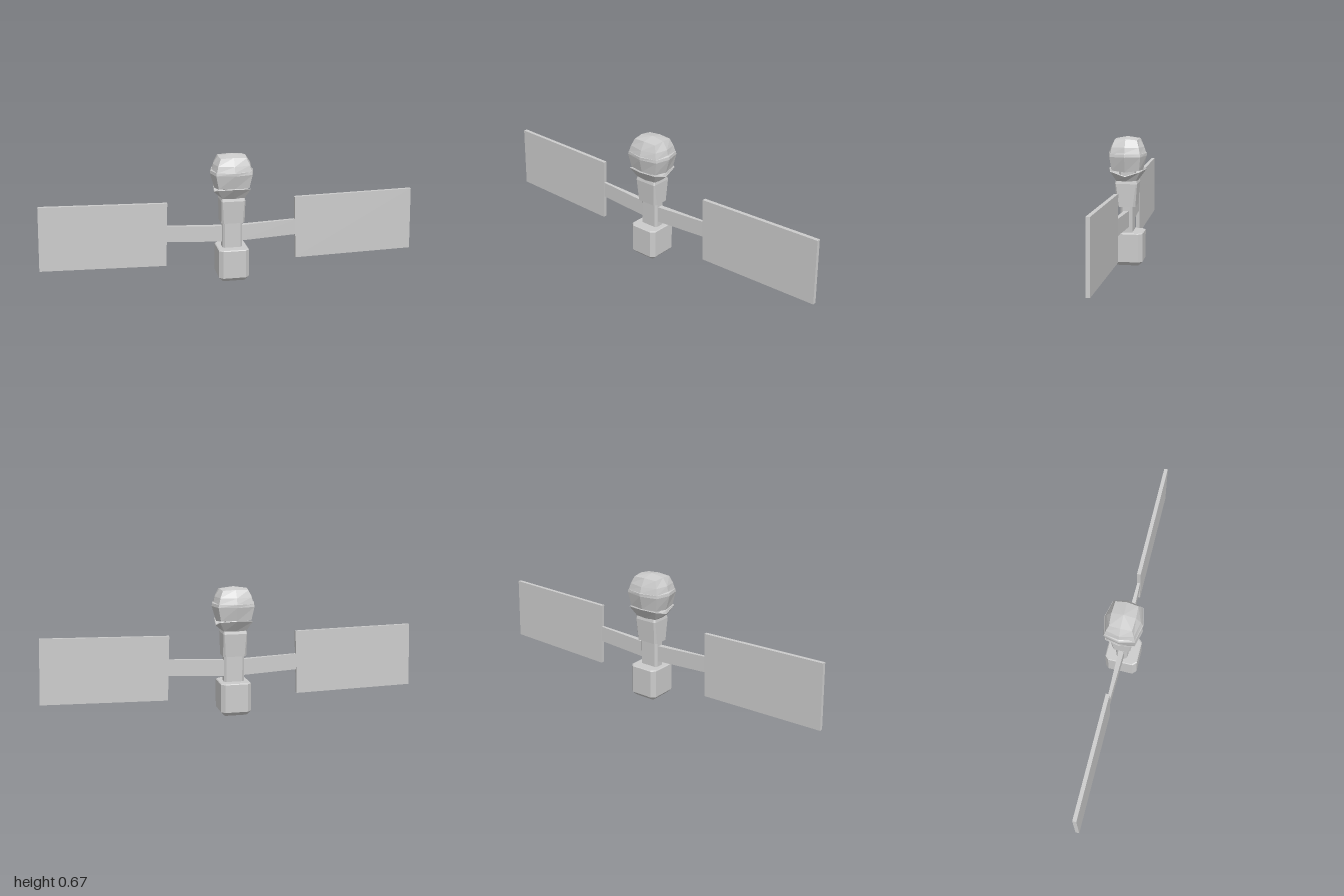
import * as THREE from 'three';

const material = new THREE.MeshStandardMaterial({ color: 0xcccccc, flatShading: true, side: THREE.DoubleSide });

function mesh(name, geometry) {
  const m = new THREE.Mesh(geometry, material);
  m.name = name;
  return m;
}

// Rectangle with chamfered corners at height y
function chamferRing(y, x, z, c) {
  return [[c - x, z], [x - c, z], [x, z - c], [x, c - z], [x - c, -z], [c - x, -z], [-x, c - z], [-x, z - c]]
    .map(([px, pz]) => [px, y, pz]);
}

// Four corners [x, y, z] with bulging side [x, y] and front/back [y, z] midpoints
function bulgeRing([cx, cy, cz], [sx, sy], [fy, fz]) {
  return [[0, fy, fz], [cx, cy, cz], [sx, sy, 0], [cx, cy, -cz],
    [0, fy, -fz], [-cx, cy, -cz], [-sx, sy, 0], [-cx, cy, cz]];
}

// Skin stacked rings, closing both ends to a centre point
function loft(rings, bottomY, topY) {
  const n = rings[0].length, last = (rings.length - 1) * n;
  const points = [...rings.flat(), [0, bottomY, 0], [0, topY, 0]];
  const bottom = points.length - 2, top = points.length - 1;
  const index = [];
  for (let i = 0; i < n; i++) {
    const j = (i + 1) % n;
    for (let r = 0; r < last; r += n) {
      index.push(r + i, r + j, r + n + j, r + i, r + n + j, r + n + i);
    }
    index.push(bottom, j, i, top, last + i, last + j);
  }
  const g = new THREE.BufferGeometry();
  g.setAttribute('position', new THREE.Float32BufferAttribute(points.flat(), 3));
  g.setIndex(index);
  const flat = g.toNonIndexed();
  flat.computeVertexNormals();
  return flat;
}

// Tapered boom rising slightly away from the mast
function boomGeometry(side) {
  const g = new THREE.BoxGeometry(0.33, 1, 1);
  g.translate(side * 0.195, 0, 0);
  const p = g.attributes.position;
  for (let i = 0; i < p.count; i++) {
    const outer = Math.abs(p.getX(i)) > 0.2;
    p.setY(i, (outer ? 0.26 : 0.244) + p.getY(i) * 0.085);
    p.setZ(i, p.getZ(i) * (outer ? 0.014 : 0.03));
  }
  g.computeVertexNormals();
  return g;
}

// Slightly tilted flat panel
function panelGeometry(side) {
  const corners = [[0.35, 0.086], [1, 0.1], [0.988, 0.438], [0.338, 0.425]];
  const shape = new THREE.Shape(corners.map(([x, y]) => new THREE.Vector2(side * x, y)));
  const g = new THREE.ExtrudeGeometry(shape, { depth: 0.02, bevelEnabled: false });
  g.translate(0, 0, -0.01);
  return g;
}

export function createModel() {
  const group = new THREE.Group();
  group.name = 'satellite';

  // Body column
  group.add(mesh('baseModule', loft([
    chamferRing(0, 0.06, 0.067, 0.006),
    chamferRing(0.021, 0.08, 0.0875, 0.02),
    chamferRing(0.169, 0.08, 0.0875, 0.02),
    chamferRing(0.173, 0.076, 0.083, 0.02),
  ], 0, 0.173)));
  group.add(mesh('mast', loft([
    chamferRing(0.165, 0.053, 0.031, 0.011),
    chamferRing(0.32, 0.053, 0.031, 0.011),
  ], 0.165, 0.32)));
  group.add(mesh('collar', loft([
    chamferRing(0.31, 0.062, 0.048, 0.012),
    chamferRing(0.43, 0.063, 0.058, 0.006),
    chamferRing(0.446, 0.06, 0.054, 0.006),
  ], 0.31, 0.446)));

  // Flared cradle with a rim dipping at both sides
  group.add(mesh('cradle', loft([
    bulgeRing([0.058, 0.444, 0.05], [0.062, 0.444], [0.444, 0.056]),
    bulgeRing([0.085, 0.496, 0.078], [0.093, 0.471], [0.503, 0.099]),
    bulgeRing([0.084, 0.5, 0.077], [0.091, 0.475], [0.507, 0.097]),
    bulgeRing([0.06, 0.475, 0.055], [0.064, 0.466], [0.48, 0.065]),
  ], 0.444, 0.468)));
  group.add(mesh('neck', loft([
    chamferRing(0.46, 0.04, 0.04, 0.01),
    chamferRing(0.51, 0.04, 0.04, 0.01),
  ], 0.46, 0.51)));

  // Faceted head with a raised belt
  group.add(mesh('head', loft([
    bulgeRing([0.08, 0.502, 0.071], [0.091, 0.494], [0.5, 0.082]),
    bulgeRing([0.094, 0.573, 0.08], [0.114, 0.573], [0.573, 0.1]),
    bulgeRing([0.092, 0.588, 0.078], [0.112, 0.588], [0.588, 0.1]),
    bulgeRing([0.09, 0.588, 0.077], [0.104, 0.594], [0.59, 0.097]),
    bulgeRing([0.082, 0.621, 0.07], [0.098, 0.622], [0.619, 0.087]),
    bulgeRing([0.067, 0.657, 0.058], [0.072, 0.663], [0.661, 0.062]),
  ], 0.492, 0.673)));

  // Mirrored booms and panels
  for (const side of [1, -1]) {
    const wing = new THREE.Group();
    wing.name = side > 0 ? 'leftWing' : 'rightWing';
    wing.add(mesh('boom', boomGeometry(side)), mesh('panel', panelGeometry(side)));
    group.add(wing);
  }
  return group;
}
